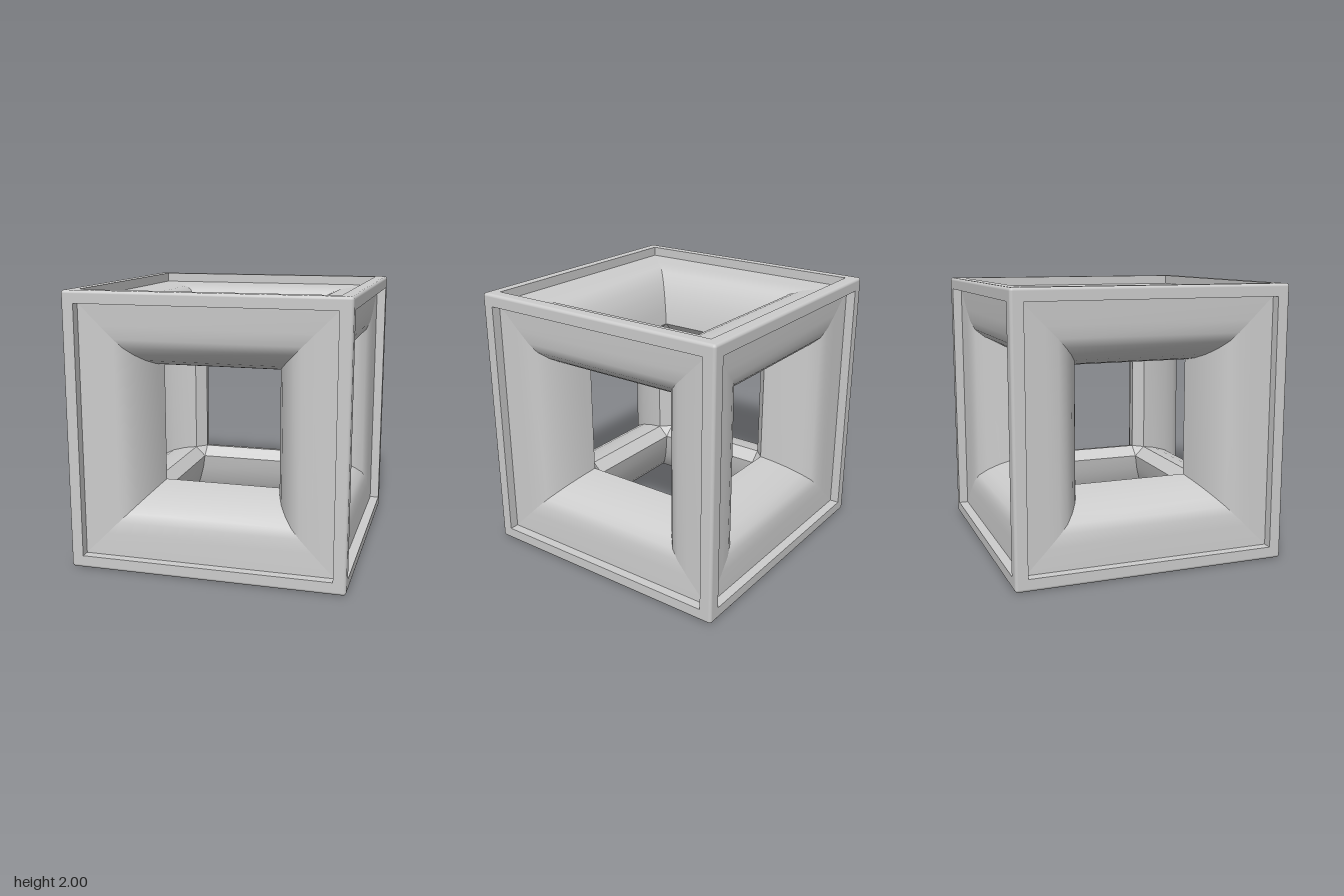
import * as THREE from 'three';

const grey = new THREE.MeshStandardMaterial({ color: 0xcccccc });
grey.name = 'light grey';

const BEVEL = 0.022, FLAT = 1 - BEVEL, HOLE = 0.435, INNER = 0.51;
const MID = (HOLE + INNER) / 2;

// Profiles: [distance from face centre, height above cube centre, optional half length]
const PROFILES = {
  rim: [[FLAT, 1], [0.91, 1]],
  rimWall: [[0.91, 1], [0.91, 0.93]],
  panelAndOpening: [[0.91, 0.93], [0.75, 0.922], [0.66, 0.912], [0.6, 0.888],
    [0.545, 0.825], [0.495, 0.735], [0.456, 0.62], [HOLE, INNER]],
  innerChamfer: [[HOLE, INNER, HOLE], [MID, MID, HOLE]],
};

// One mitred side of a square ring, smooth along its profile
function sideStrip(profile) {
  const pos = [], idx = [];
  profile.forEach(([r, d, half = r], i) => {
    pos.push(-half, -r, d, half, -r, d);
    if (i) {
      const a = 2 * (i - 1);
      idx.push(a, a + 1, a + 3, a, a + 3, a + 2);
    }
  });
  const g = new THREE.BufferGeometry();
  g.setAttribute('position', new THREE.Float32BufferAttribute(pos, 3));
  g.setIndex(idx);
  g.computeVertexNormals();
  return g;
}

// Small triangle closing the inside of a corner, facing the centre
function cornerTriangle(sx, sy, sz) {
  const a = [HOLE, HOLE, INNER], b = [INNER, HOLE, HOLE], c = [HOLE, INNER, HOLE];
  const order = sx * sy * sz > 0 ? [a, c, b] : [a, b, c];
  const pos = order.flatMap(([x, y, z]) => [x * sx, y * sy, z * sz]);
  const g = new THREE.BufferGeometry();
  g.setAttribute('position', new THREE.Float32BufferAttribute(pos, 3));
  g.computeVertexNormals();
  return g;
}

export function createModel() {
  const model = new THREE.Group();
  model.name = 'hollowCube';
  const frame = new THREE.Group();
  frame.name = 'frame';
  frame.position.y = 1;
  model.add(frame);

  const add = (parent, geometry, name) => {
    const m = new THREE.Mesh(geometry, grey);
    m.name = name;
    parent.add(m);
    return m;
  };

  // Six identical faces, each of four mitred sides
  const strips = Object.entries(PROFILES).map(([name, p]) => [name, sideStrip(p)]);
  const H = Math.PI / 2;
  const faces = {
    frontFace: [0, 0], leftFace: [0, H], backFace: [0, 2 * H],
    rightFace: [0, -H], topFace: [-H, 0], bottomFace: [H, 0],
  };
  for (const [faceName, [rx, ry]] of Object.entries(faces)) {
    const face = new THREE.Group();
    face.name = faceName;
    face.rotation.set(rx, ry, 0);
    for (let k = 0; k < 4; k++) {
      for (const [name, g] of strips) add(face, g, name).rotation.z = k * H;
    }
    frame.add(face);
  }

  // Rounded outer edges
  const edge = new THREE.CylinderGeometry(BEVEL, BEVEL, 2 * FLAT, 16, 1, true);
  for (const s of [-1, 1]) for (const t of [-1, 1]) {
    add(frame, edge, 'uprightEdge').position.set(s * FLAT, 0, t * FLAT);
    const across = add(frame, edge, 'crossEdge');
    across.rotation.z = H;
    across.position.set(0, s * FLAT, t * FLAT);
    const deep = add(frame, edge, 'depthEdge');
    deep.rotation.x = H;
    deep.position.set(s * FLAT, t * FLAT, 0);
  }

  // Rounded outer corners and cut inner corners
  const ball = new THREE.SphereGeometry(BEVEL, 16, 12);
  for (const x of [-1, 1]) for (const y of [-1, 1]) for (const z of [-1, 1]) {
    add(frame, ball, 'outerCorner').position.set(x * FLAT, y * FLAT, z * FLAT);
    add(frame, cornerTriangle(x, y, z), 'innerCorner');
  }
  return model;
}
